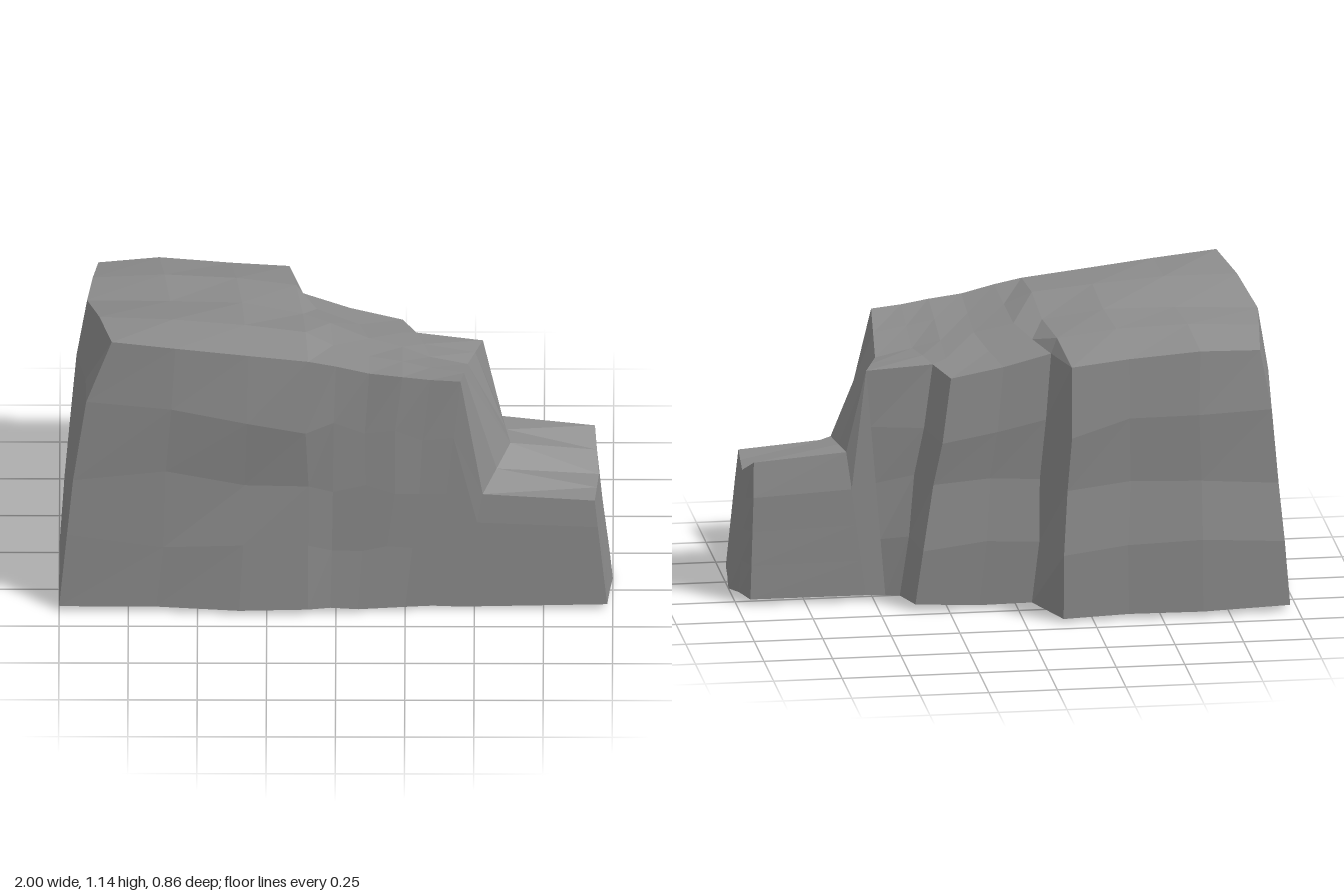
import * as THREE from 'three';

// Stations along the rock: top points at front, middle and back, then base x at the same three.
const stations = [
  { top: [[-0.81, 1.14, 0.385], [-0.9, 1.045, -0.05], [-0.86, 0.99, -0.395]], base: [-1, -1, -0.97] },
  { top: [[-0.58, 1.115, 0.39], [-0.6, 1.055, -0.03], [-0.64, 1.0, -0.415]], base: [-0.65, -0.62, -0.65] },
  { top: [[-0.32, 1.085, 0.39], [-0.34, 1.055, -0.02], [-0.38, 0.98, -0.41]], base: [-0.35, -0.35, -0.38] },
  { top: [[-0.1, 1.06, 0.39], [-0.12, 1.02, 0], [-0.17, 0.96, -0.42]], base: [-0.1, -0.12, -0.14] },
  { top: [[0.0, 1.04, 0.39], [-0.02, 1.0, 0.03], [-0.12, 0.96, -0.235]], base: [-0.02, -0.03, -0.05] },
  { top: [[0.12, 1.01, 0.39], [0.12, 0.96, 0.07], [0.05, 0.91, -0.215]], base: [0.08, 0.12, 0.14] },
  { top: [[0.24, 0.995, 0.39], [0.24, 0.93, 0.08], [0.24, 0.87, -0.2]], base: [0.17, 0.22, 0.37] },
  { top: [[0.34, 0.98, 0.385], [0.34, 0.9, 0.1], [0.29, 0.89, -0.08]], base: [0.25, 0.3, 0.41] },
  { top: [[0.45, 0.97, 0.38], [0.475, 0.87, 0.1], [0.53, 0.87, -0.06]], base: [0.35, 0.38, 0.46] },
  { top: [[0.53, 0.49, 0.38], [0.63, 0.565, 0.15], [0.6, 0.56, -0.04]], base: [0.45, 0.48, 0.53] },
  { top: [[0.935, 0.46, 0.375], [0.95, 0.445, 0.17], [0.935, 0.53, -0.025]], base: [0.98, 1, 0.95] },
];
const LAST = stations.length - 1;
const LEVELS = 4;
const DEPTH = 4;
const STEP = 8; // first station of the low ledge's riser

// Repeatable small offset in the range -1 to 1
function wobble(a, b, c) {
  const n = Math.sin(a * 12.99 + b * 78.23 + c * 37.72) * 43758.55;
  return 2 * (n - Math.floor(n)) - 1;
}

// Position for station s, level t (0 base, 4 top) and depth u (0 front, 4 back)
function rockPoint(s, t, u) {
  const { top, base } = stations[s];
  const i = u < 2 ? 0 : 1;
  const f = u / 2 - i;
  const mix = (a, b) => a + (b - a) * f;
  const [tx, ty, tz] = [0, 1, 2].map((k) => mix(top[i][k], top[i + 1][k]));
  const bx = mix(base[i], base[i + 1]);
  const h = t / LEVELS;
  let x = bx + (tx - bx) * h;
  let y = 0.02 + (ty - 0.02) * h;
  let z = tz;

  const rough = s < STEP;
  // Rounded shoulder on the tall end
  if (s === 0) x -= (u === 0 ? 0.05 : 0.015) * Math.sin(Math.PI * Math.pow(h, 1.5));
  // Front face swelling at its foot and shoulder near the middle
  if (u === 0 && t < LEVELS) {
    const swell = Math.exp(-((s - 2.5) ** 2) / 2) * [0.03, 0.01, 0, 0.025][t];
    z += 0.006 + swell + (rough && s > 0 ? 0.006 * wobble(s, t, 1) : 0);
  }
  // Back face weathered in shallow bands
  if (u === DEPTH) {
    if (rough) z -= [0, 0.014, -0.006, 0.014, 0][t];
    else if (s > STEP && t < LEVELS) z -= 0.02;
  }
  if (rough && t > 0 && t < LEVELS) {
    y += 0.03 * wobble(s, t, u + 5);
    if (s > 0) x += 0.01 * wobble(s, t, u + 9);
  }
  // Crowned, slightly uneven top
  if (t === LEVELS && u % 2 === 1 && rough) y += (s < 4 ? 0.022 : 0) + 0.006 * wobble(s, u, 3);
  if (t === 0) y = u === 2 ? 0 : 0.018 + 0.006 * wobble(s, u, 7);
  return [x, y, z];
}

export function createModel() {
  const group = new THREE.Group();
  group.name = 'rockFormation';

  // A subdivided block remapped onto the stations
  const block = new THREE.BoxGeometry(1, 1, 1, LAST, LEVELS, DEPTH);
  const pos = block.attributes.position;
  for (let i = 0; i < pos.count; i++) {
    const s = Math.round((pos.getX(i) + 0.5) * LAST);
    const t = Math.round((pos.getY(i) + 0.5) * LEVELS);
    const u = Math.round((0.5 - pos.getZ(i)) * DEPTH);
    pos.setXYZ(i, ...rockPoint(s, t, u));
  }
  const geometry = block.toNonIndexed();
  geometry.computeVertexNormals();

  const rock = new THREE.Mesh(
    geometry,
    new THREE.MeshStandardMaterial({ color: 0x8c8c8c, flatShading: true })
  );
  rock.name = 'steppedRock';
  group.add(rock);
  return group;
}
